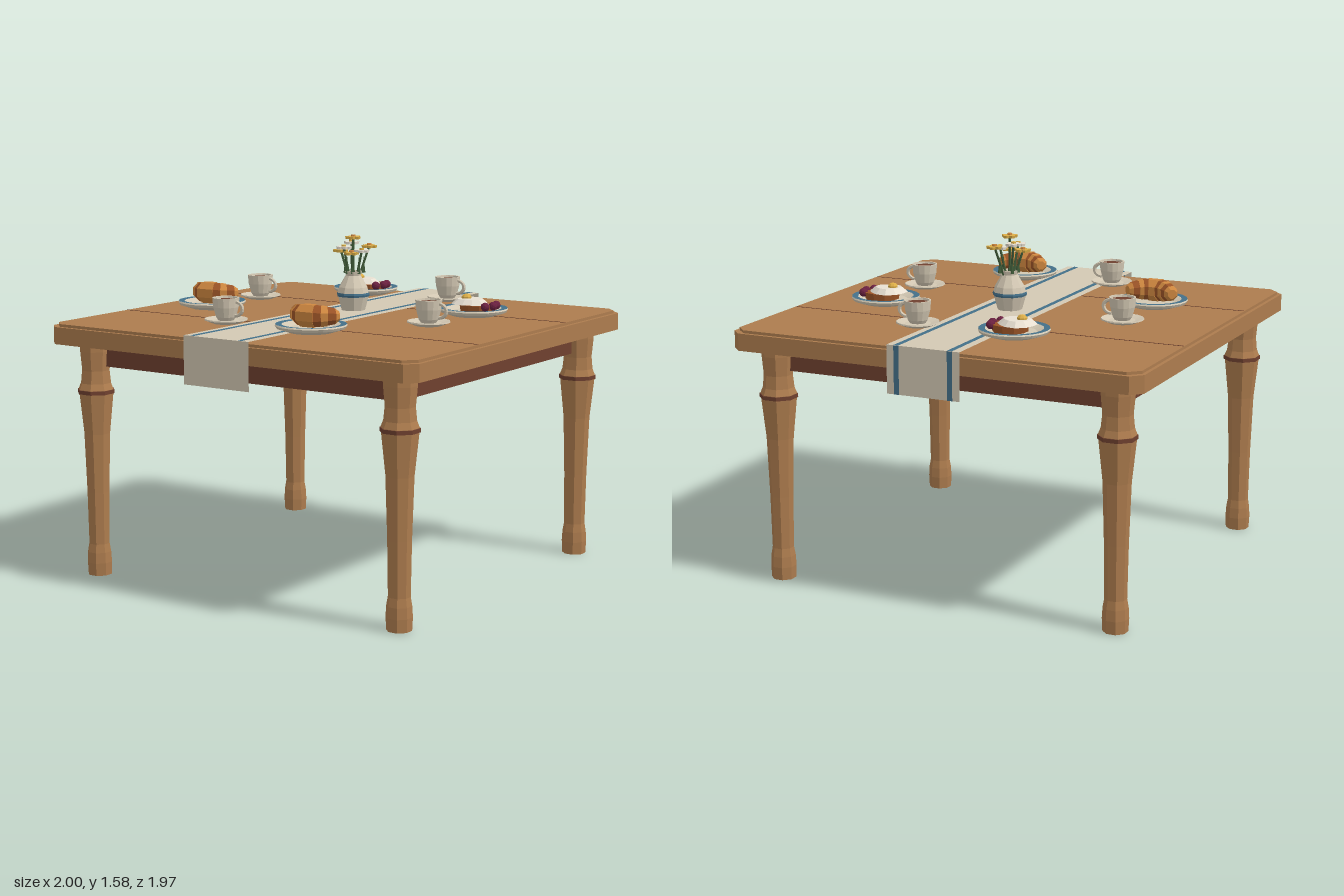
import * as THREE from 'three';

const mat = (name, color, side = THREE.FrontSide) =>
  Object.assign(new THREE.MeshStandardMaterial({ color, flatShading: true, side }), { name });

const M = {
  wood: mat('wood', 0xad7c4e),
  darkWood: mat('darkWood', 0x6f402f),
  cream: mat('cream', 0xd3c8b3, THREE.DoubleSide),
  blue: mat('blue', 0x447089, THREE.DoubleSide),
  gold: mat('goldenCrust', 0xcf8840),
  rust: mat('brownCrust', 0x9c5427),
  white: mat('white', 0xeae2d4),
  yellow: mat('yellow', 0xdcae48),
  berry: mat('berry', 0x6b2140),
  green: mat('green', 0x3f5a38),
};

function add(parent, name, geometry, material, x = 0, y = 0, z = 0) {
  const mesh = new THREE.Mesh(geometry, material);
  mesh.name = name;
  mesh.position.set(x, y, z);
  parent.add(mesh);
  return mesh;
}

function group(parent, name, x = 0, y = 0, z = 0) {
  const g = new THREE.Group();
  g.name = name;
  g.position.set(x, y, z);
  parent.add(g);
  return g;
}

const lathe = (points, sides) =>
  new THREE.LatheGeometry(points.map(([r, y]) => new THREE.Vector2(r, y)), sides);

// Flat slab with cut corners, lying on y = 0
function slab(hx, hz, cut, height) {
  const shape = new THREE.Shape([
    [hx, -hz + cut], [hx, hz - cut], [hx - cut, hz], [-hx + cut, hz],
    [-hx, hz - cut], [-hx, -hz + cut], [-hx + cut, -hz], [hx - cut, -hz],
  ].map(([x, y]) => new THREE.Vector2(x, y)));
  return new THREE.ExtrudeGeometry(shape, { depth: height, bevelEnabled: false }).rotateX(-Math.PI / 2);
}

function buildTable(root) {
  const table = group(root, 'table');
  add(table, 'tableTop', slab(1, 0.96, 0.05, 0.08), M.wood, 0, 1.11);
  add(table, 'tableTopEdge', slab(0.983, 0.943, 0.05, 0.013), M.wood, 0, 1.19);
  add(table, 'apron', new THREE.BoxGeometry(1.68, 0.11, 1.61), M.darkWood, 0, 1.055);
  for (const z of [-0.4, 0.4])
    add(table, 'plankSeam', new THREE.BoxGeometry(1.96, 0.002, 0.005), M.darkWood, 0, 1.2035, z);

  // Turned legs with a dark ring
  const legGeo = lathe([[0, 0], [0.057, 0], [0.06, 0.06], [0.057, 0.11], [0.05, 0.15], [0.054, 0.4],
    [0.063, 0.68], [0.082, 0.86], [0.085, 0.89], [0.073, 0.92], [0.067, 0.98], [0.075, 1.07],
    [0.075, 1.1], [0, 1.1]], 8).rotateY(Math.PI / 8);
  const ringGeo = new THREE.CylinderGeometry(0.089, 0.089, 0.018, 8).rotateY(Math.PI / 8);
  for (const x of [-0.84, 0.84]) for (const z of [-0.805, 0.805]) {
    const leg = group(table, 'leg', x, 0, z);
    add(leg, 'legPost', legGeo, M.wood);
    add(leg, 'legRing', ringGeo, M.darkWood, 0, 0.88);
  }
}

// Thin cloth: a flat strip with a hanging end at front and back
function buildRunner(root) {
  const runner = group(root, 'tableRunner');
  const strip = (name, width, material, x, lift) => {
    add(runner, name, new THREE.PlaneGeometry(width, 1.966).rotateX(-Math.PI / 2), material, x, 1.22 + lift, 0);
    for (const z of [-0.983, 0.983])
      add(runner, name + 'End', new THREE.PlaneGeometry(width, 0.22), material, x, 1.11, z - lift);
  };
  strip('runnerCloth', 0.355, M.cream, 0, 0);
  for (const x of [-0.13, 0.13]) strip('runnerStripe', 0.025, M.blue, x, 0.0015);
}

function buildPlate(root, name, x, z) {
  const g = group(root, name, x, 1.226, z);
  add(g, 'plate', lathe([[0, 0], [0.1, 0], [0.155, 0.018], [0.162, 0.03], [0.158, 0.036],
    [0.132, 0.034], [0.1, 0.02], [0, 0.02]], 20), M.cream);
  add(g, 'plateRim', lathe([[0.16, 0.037], [0.132, 0.0355]], 20), M.blue);
  return g;
}

// Skin over a list of rings running along +x
function loft(rings) {
  const n = rings[0].length, pos = rings.flat(2), index = [];
  for (let i = 0; i < rings.length - 1; i++) for (let j = 0; j < n; j++) {
    const a = i * n + j, b = i * n + (j + 1) % n;
    index.push(a, a + n, b, b, a + n, b + n);
  }
  const geo = new THREE.BufferGeometry();
  geo.setAttribute('position', new THREE.Float32BufferAttribute(pos, 3));
  geo.setIndex(index);
  geo.computeVertexNormals();
  return geo;
}

function buildCroissant(root, x, z) {
  const g = group(buildPlate(root, 'croissantPlate', x, z), 'croissant', 0, 0.074, 0);
  const ring = (t, r) => Array.from({ length: 8 }, (_, j) => {
    const a = (j + 0.5) / 8 * Math.PI * 2, slope = -1.05 * t, len = Math.hypot(1, slope);
    const out = r * Math.cos(a);
    return [0.095 * t - out * slope / len, r * 1.04 * Math.sin(a), 0.018 - 0.05 * t * t + out / len];
  });
  // Bands of crust: [start, radius, end, radius, colour]
  const bands = [[-0.32, 0.052, 0.32, 0.052, M.gold]];
  for (const s of [-1, 1]) for (const [a, ra, b, rb, m] of [
    [0.32, 0.049, 0.58, 0.046, M.rust], [0.58, 0.048, 0.8, 0.044, M.gold],
    [0.8, 0.042, 1.05, 0.036, M.rust], [1.05, 0.036, 1.18, 0.022, M.gold]])
    bands.push(s > 0 ? [a, ra, b, rb, m] : [-b, rb, -a, ra, m]);
  for (const [a, ra, b, rb, m] of bands)
    add(g, 'croissantBand', loft([ring(a, 0), ring(a, ra), ring(b, rb), ring(b, 0)]), m);
}

function buildToast(root, x, z) {
  const g = buildPlate(root, 'toastPlate', x, z);
  add(g, 'toast', new THREE.CylinderGeometry(0.085, 0.08, 0.034, 10), M.rust, 0.02, 0.037);
  // Egg white with an uneven outline
  const white = new THREE.CylinderGeometry(0.062, 0.09, 0.024, 11);
  const p = white.attributes.position;
  for (let i = 0; i < p.count; i++) {
    const k = 1 + 0.08 * Math.sin(3 * Math.atan2(p.getZ(i), p.getX(i)) + 1);
    p.setXYZ(i, p.getX(i) * k, p.getY(i), p.getZ(i) * k * 0.93);
  }
  add(g, 'eggWhite', white, M.white, -0.015, 0.066);
  add(g, 'eggYolk', new THREE.SphereGeometry(0.025, 8, 5).scale(1, 0.8, 1), M.yellow, -0.038, 0.08);
  for (const [bx, bz] of [[0.095, -0.045], [0.105, 0.0], [0.088, 0.045]])
    add(g, 'berry', new THREE.IcosahedronGeometry(0.021, 1), M.berry, bx, 0.05, bz);
}

function buildCup(root, x, z) {
  const g = group(root, 'coffeeCup', x, 1.226, z);
  add(g, 'saucer', lathe([[0, 0], [0.06, 0], [0.1, 0.016], [0.098, 0.022], [0.06, 0.012], [0, 0.012]], 16), M.cream);
  add(g, 'cup', lathe([[0, 0.014], [0.036, 0.014], [0.046, 0.03], [0.058, 0.075], [0.062, 0.118],
    [0.054, 0.118], [0.05, 0.1]], 14), M.cream);
  add(g, 'coffee', new THREE.CircleGeometry(0.053, 14).rotateX(-Math.PI / 2), M.darkWood, 0, 0.108);
  add(g, 'cupHandle', new THREE.TorusGeometry(0.032, 0.008, 6, 10, Math.PI).rotateZ(-Math.PI / 2)
    .scale(1.25, 1, 1), M.cream, 0.053, 0.07);
}

function buildVase(root) {
  const g = group(root, 'flowerVase', 0, 1.223, -0.1);
  add(g, 'vase', lathe([[0, 0], [0.058, 0], [0.079, 0.075], [0.07, 0.11], [0.037, 0.165],
    [0.042, 0.185], [0.033, 0.185], [0.028, 0.15], [0, 0.15]], 10), M.cream);
  add(g, 'vaseBand', lathe([[0.0785, 0.066], [0.081, 0.075], [0.0785, 0.084]], 10), M.blue);

  // Blossoms: [x, height, z, petal colour, centre colour]
  const blossoms = [
    [0.0, 0.345, 0.0, M.yellow, M.gold], [0.045, 0.3, -0.07, M.yellow, M.gold],
    [-0.04, 0.315, -0.045, M.white, M.yellow], [-0.06, 0.28, 0.015, M.yellow, M.gold],
    [0.055, 0.285, 0.01, M.white, M.yellow], [0.02, 0.275, 0.045, M.yellow, M.gold],
    [-0.02, 0.3, 0.05, M.white, M.yellow],
  ];
  for (const [x, y, z, petal, centre] of blossoms) {
    const stem = new THREE.LineCurve3(new THREE.Vector3(x * 0.3, 0.14, z * 0.3), new THREE.Vector3(x, y, z));
    add(g, 'stem', new THREE.TubeGeometry(stem, 1, 0.006, 5), M.green);
    const leafTip = new THREE.ConeGeometry(0.01, 0.08, 4);
    add(g, 'leaf', leafTip, M.green, x * 0.65, 0.215, z * 0.65);
    const flower = group(g, 'flower', x, y, z);
    for (let i = 0; i < 5; i++) {
      const a = i / 5 * Math.PI * 2 + x * 20;
      add(flower, 'petal', new THREE.CylinderGeometry(0.016, 0.014, 0.012, 7), petal,
        0.023 * Math.cos(a), 0, 0.023 * Math.sin(a));
    }
    add(flower, 'flowerCentre', new THREE.CylinderGeometry(0.011, 0.013, 0.02, 7), centre, 0, 0.004);
  }
}

export function createModel() {
  const root = new THREE.Group();
  root.name = 'breakfastTable';
  buildTable(root);
  buildRunner(root);
  buildVase(root);
  buildToast(root, -0.265, -0.615);
  buildToast(root, 0.585, -0.235);
  buildCroissant(root, -0.59, 0.235);
  buildCroissant(root, 0.255, 0.62);
  for (const [x, z] of [[0.215, -0.615], [-0.595, -0.165], [0.585, 0.165], [-0.22, 0.615]]) buildCup(root, x, z);
  return root;
}
